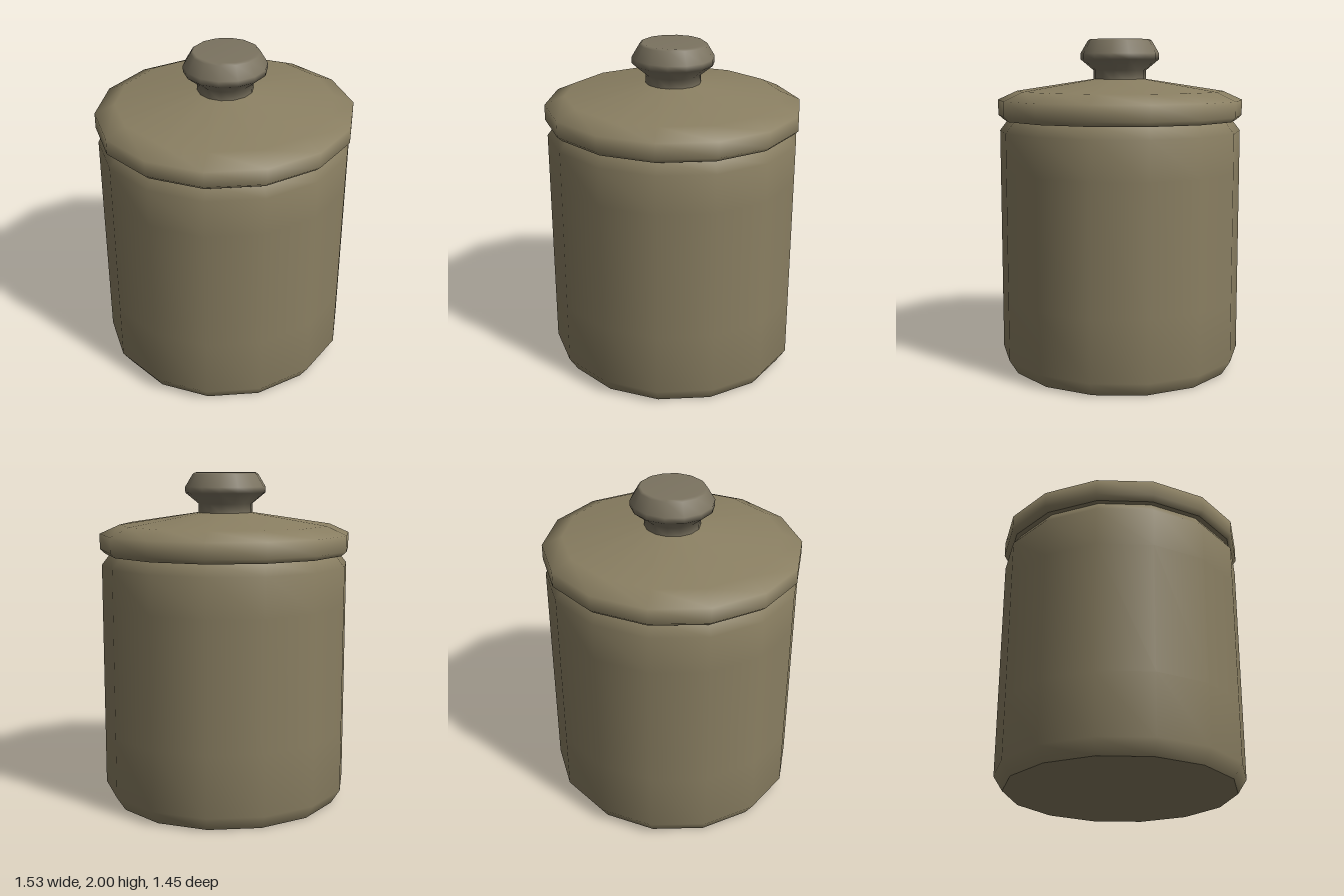
import * as THREE from 'three';

const SIDES = 14;
const DEPTH = 0.972; // the jar is slightly narrower in z

// Smooth turned part with a vertex column on the +x axis.
function turned(name, profile, color) {
  const points = profile.map(([r, y]) => new THREE.Vector2(r, y));
  const geometry = new THREE.LatheGeometry(points, SIDES, Math.PI / 2);
  geometry.scale(1, 1, DEPTH);
  const mesh = new THREE.Mesh(geometry, new THREE.MeshStandardMaterial({ color }));
  mesh.name = name;
  return mesh;
}

export function createModel() {
  const jar = new THREE.Group();
  jar.name = 'lidded jar';
  const clay = 0x8a7f62;
  const knobClay = 0x7b7360;

  // Straight wall, chamfered at foot and shoulder
  jar.add(turned('body', [
    [0.70, 0], [0.755, 0.085], [0.755, 0.45], [0.755, 1.22], [0.755, 1.45], [0.70, 1.52],
  ], clay));

  // Flat foot, kept separate for a sharp edge
  jar.add(turned('base', [[0, 0], [0.70, 0]], clay));

  // Lid underside and its shallow conical top
  jar.add(turned('lidUnderside', [[0, 1.518], [0.735, 1.518]], clay));
  jar.add(turned('lid', [
    [0.735, 1.518], [0.765, 1.545], [0.765, 1.637], [0.645, 1.69], [0.165, 1.762],
  ], clay));

  // Neck flaring into a rounded knob
  jar.add(turned('knob', [
    [0.165, 1.755], [0.165, 1.815], [0.245, 1.88], [0.245, 1.915], [0.20, 1.99], [0.185, 2], [0, 2],
  ], knobClay));

  return jar;
}
